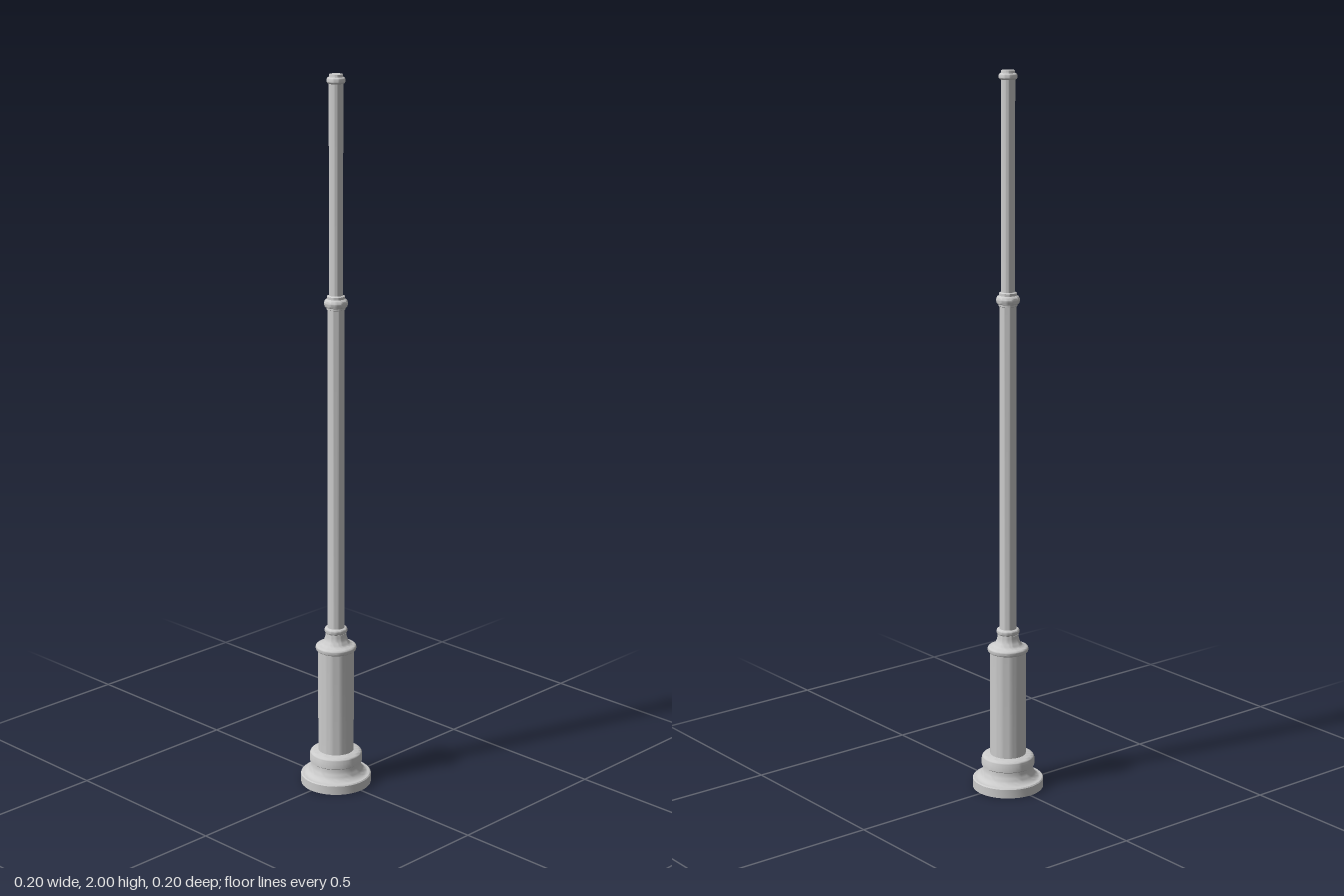
import * as THREE from 'three';
import { toCreasedNormals } from 'three/addons/utils/BufferGeometryUtils.js';

const SEGMENTS = 48;

// Points of a quarter ellipse from (r0, y0) to (r1, y1).
// upFirst: leaves vertically and arrives horizontally; otherwise the reverse.
function quarter(r0, y0, r1, y1, upFirst, steps = 7) {
  const points = [];
  for (let i = 0; i <= steps; i++) {
    const a = (i / steps) * Math.PI / 2;
    const s = Math.sin(a), c = 1 - Math.cos(a);
    points.push([r0 + (r1 - r0) * (upFirst ? c : s), y0 + (y1 - y0) * (upFirst ? s : c)]);
  }
  return points;
}

// Half-round bead standing out from radius r between two heights
function bead(r, y0, y1, out) {
  const mid = (y0 + y1) / 2;
  return [...quarter(r, y0, r + out, mid, false, 5), ...quarter(r + out, mid, r, y1, true, 5).slice(1)];
}

export function createModel() {
  const model = new THREE.Group();
  model.name = 'post';
  const material = new THREE.MeshStandardMaterial({ color: 0xcccccc });

  function turned(name, profile) {
    const points = profile.map(([r, y]) => new THREE.Vector2(r, y));
    const geometry = toCreasedNormals(new THREE.LatheGeometry(points, SEGMENTS), 0.6);
    const mesh = new THREE.Mesh(geometry, material);
    mesh.name = name;
    model.add(mesh);
  }

  // Round foot: plinth, concave sweep and rounded upper moulding
  turned('foot', [
    [0, 0], [0.099, 0], [0.099, 0.025], [0.096, 0.028],
    ...quarter(0.094, 0.028, 0.07, 0.063, false),
    [0.074, 0.066], [0.074, 0.081],
    ...quarter(0.074, 0.084, 0.061, 0.096, true),
    [0.05, 0.098],
  ]);

  // Thick lower column
  turned('pedestal', [[0.05, 0.096], [0.05, 0.4]]);

  // Collar with a concave shoulder narrowing to the shaft
  turned('pedestalCollar', [
    [0.05, 0.397], ...bead(0.05, 0.397, 0.414, 0.007),
    ...quarter(0.05, 0.414, 0.029, 0.449, false),
    ...bead(0.027, 0.449, 0.465, 0.005),
    [0.022, 0.466],
  ]);

  turned('lowerShaft', [[0.024, 0.46], [0.023, 1.38]]);

  // Joint ring between the two shafts
  turned('jointRing', [
    [0.022, 1.372], [0.026, 1.374], [0.026, 1.379],
    ...bead(0.027, 1.379, 1.4, 0.005),
    [0.024, 1.402], [0.024, 1.409], [0.018, 1.412],
  ]);

  turned('upperShaft', [[0.019, 1.405], [0.019, 1.98]]);

  // Top cap with a small bead
  turned('topCap', [
    [0.018, 1.975], ...bead(0.02, 1.976, 1.992, 0.005),
    [0.019, 1.993], [0.018, 2], [0, 2],
  ]);

  return model;
}
